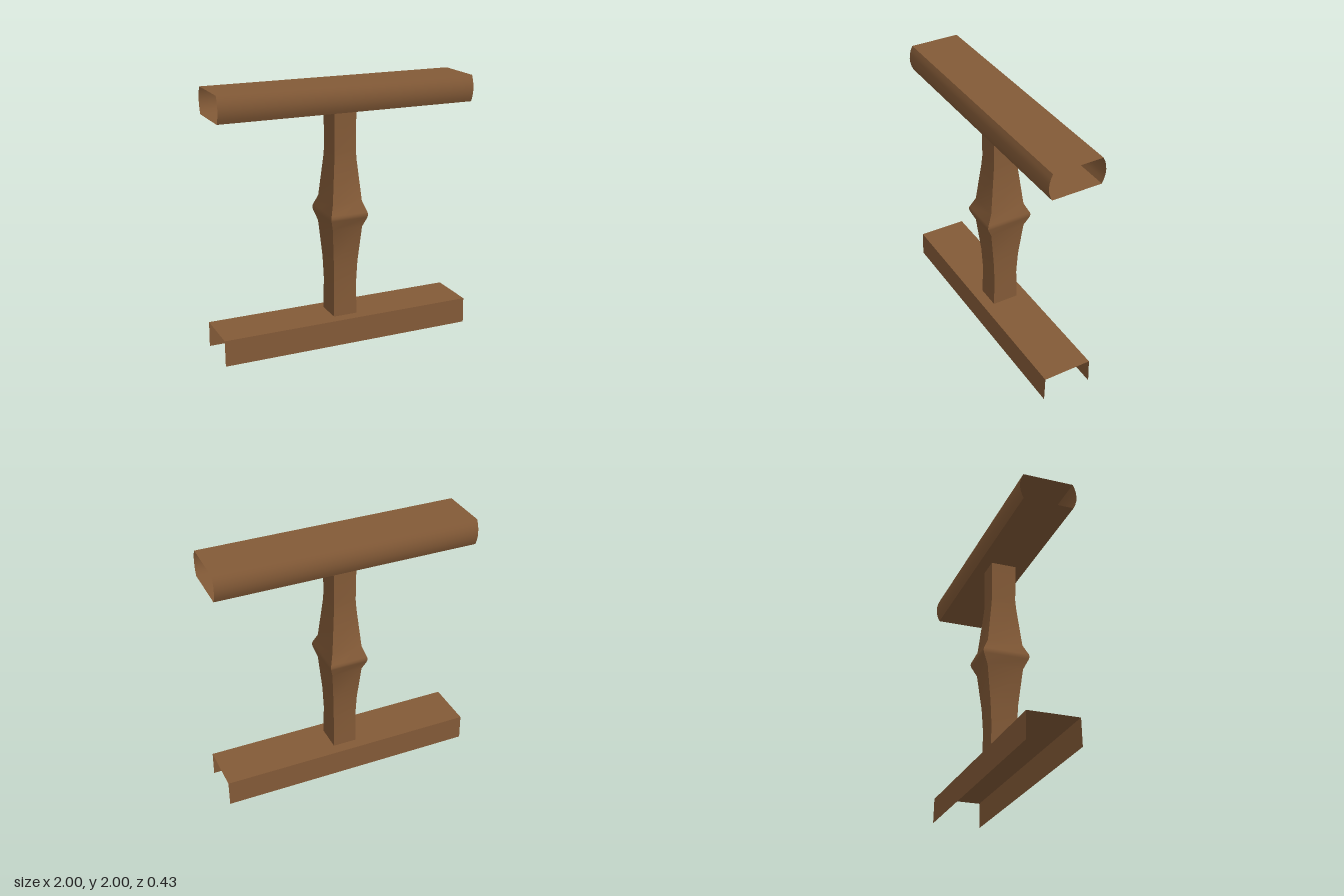
import * as THREE from 'three';
import { toCreasedNormals } from 'three/addons/utils/BufferGeometryUtils.js';

// Skin between successive rings of points; smooth except at sharp corners
function loft(rings, closed) {
  const n = rings[0].length, index = [];
  for (let i = 0; i < rings.length - 1; i++) {
    for (let j = 0; j < (closed ? n : n - 1); j++) {
      const k = (j + 1) % n;
      const a = i * n + j, b = i * n + k, c = a + n, d = b + n;
      index.push(a, b, d, a, d, c);
    }
  }
  const geometry = new THREE.BufferGeometry();
  geometry.setAttribute('position', new THREE.Float32BufferAttribute(rings.flat(2), 3));
  geometry.setIndex(index);
  return toCreasedNormals(geometry, 1.0);
}

// Open-ended rail: side profile [y, z] rising at the front, mirrored to the back
function railGeometry(side, closed) {
  const section = [
    ...side.map(([y, z]) => [y, -z]),
    ...side.slice().reverse(),
  ];
  return loft([-1, 1].map((x) => section.map(([y, z]) => [x, y, z])), closed);
}

export function createModel() {
  const wood = new THREE.MeshStandardMaterial({ color: 0x835a37, side: THREE.DoubleSide });
  wood.name = 'brown wood';
  const model = new THREE.Group();
  model.name = 'railing';
  const add = (name, geometry) => {
    const mesh = new THREE.Mesh(geometry, wood);
    mesh.name = name;
    model.add(mesh);
  };

  // Handrail: hollow, with bulging sides
  add('handrail', railGeometry(
    [[1.8, 0.19], [1.83, 0.204], [1.865, 0.214], [1.9, 0.217], [1.935, 0.214], [1.97, 0.204], [2, 0.19]], true));

  // Base rail: inverted channel, open underneath
  add('baseRail', railGeometry([[0, 0.195], [0.2, 0.19]], false));

  // Baluster: rectangular post swelling to a ridge, as [y, half width, half depth]
  const profile = [
    [0.2, 0.094, 0.104], [0.45, 0.092, 0.098], [0.63, 0.098, 0.108], [0.91, 0.12, 0.14],
    [0.99, 0.146, 0.178], [1.01, 0.149, 0.183], [1.03, 0.146, 0.178],
    [1.11, 0.118, 0.138], [1.42, 0.09, 0.102], [1.5, 0.086, 0.095], [1.8, 0.088, 0.098],
  ];
  add('baluster', loft(profile.map(([y, x, z]) =>
    [[x, y, z], [x, y, -z], [-x, y, -z], [-x, y, z]]), true));

  return model;
}
